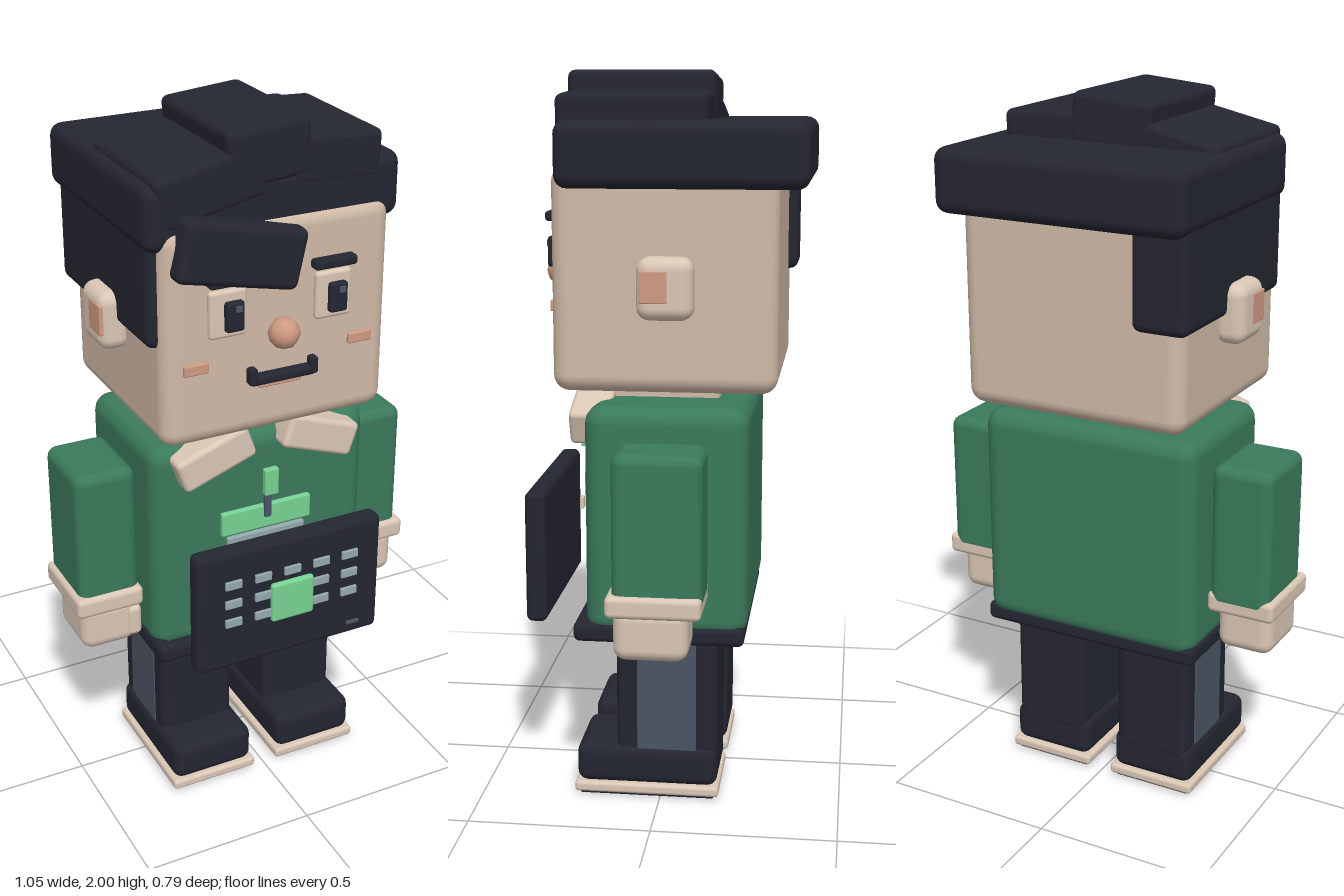
import * as THREE from 'three';
import { RoundedBoxGeometry } from 'three/addons/geometries/RoundedBoxGeometry.js';

const paint = (name, color) => Object.assign(new THREE.MeshStandardMaterial({ color }), { name });

export function createModel() {
  const skin = paint('skin', 0xd0baa7), cream = paint('cream', 0xdac7b5), pink = paint('pink', 0xcf9b82);
  const dark = paint('dark', 0x242631), green = paint('shirt green', 0x3a7a5b), bright = paint('bright green', 0x78d394);
  const slate = paint('slate', 0x4a5564), grey = paint('key grey', 0x94a9ad);

  const model = new THREE.Group();
  model.name = 'blockFigure';
  const group = (name) => {
    const g = new THREE.Group();
    g.name = name;
    model.add(g);
    return g;
  };
  // Rounded box given by its centre and size, turned about z
  const block = (parent, name, mat, [x, y, z], [w, h, d], r = 0.01, turn = 0) => {
    const radius = Math.min(r, w * 0.49, h * 0.49, d * 0.49);
    const mesh = new THREE.Mesh(new RoundedBoxGeometry(w, h, d, 3, radius), mat);
    mesh.name = name;
    mesh.position.set(x, y, z);
    mesh.rotation.z = turn;
    parent.add(mesh);
    return mesh;
  };

  // Head and hair
  const head = group('head');
  block(head, 'skull', skin, [0, 1.46, -0.016], [0.66, 0.6, 0.6], 0.045);
  const hair = group('hair');
  block(hair, 'hairCap', dark, [0, 1.785, -0.062], [0.725, 0.175, 0.665], 0.035);
  block(hair, 'sideHair', dark, [-0.275, 1.6, -0.047], [0.16, 0.32, 0.595], 0.025);
  block(hair, 'fringe', dark, [-0.12, 1.68, 0.28], [0.35, 0.165, 0.095], 0.022, -0.22);
  block(hair, 'leftTuft', dark, [-0.18, 1.85, 0.072], [0.3, 0.14, 0.405], 0.02, 0.21);
  block(hair, 'middleTuft', dark, [-0.02, 1.915, 0.072], [0.235, 0.155, 0.405], 0.02, 0.087);
  block(hair, 'rightTuft', dark, [0.17, 1.88, 0.072], [0.26, 0.13, 0.4], 0.02, -0.05);

  // Face
  const face = group('face');
  for (const s of [-1, 1]) {
    block(face, 'ear', cream, [s * 0.355, 1.445, -0.025], [0.09, 0.165, 0.15], 0.035);
    block(face, 'innerEar', pink, [s * 0.394, 1.452, 0.002], [0.014, 0.085, 0.075], 0.004);
    block(face, 'eye', cream, [s * 0.153, 1.525, 0.288], [0.106, 0.13, 0.024], 0.01);
    block(face, 'pupil', dark, [s * 0.15 + 0.01, 1.52, 0.304], [0.052, 0.082, 0.026], 0.008);
    block(face, 'glint', slate, [s * 0.15 + 0.018, 1.542, 0.317], [0.018, 0.018, 0.006], 0.002);
    block(face, 'cheek', pink, [s * 0.24, 1.385, 0.286], [0.07, 0.03, 0.016], 0.004);
    block(face, 'mouthCorner', dark, [s * 0.089, 1.343, 0.307], [0.024, 0.048, 0.03], 0.008);
    block(face, 'eyebrow', dark, [s * 0.15, 1.617, 0.3], [0.124, 0.027, 0.036], 0.009);
  }
  block(face, 'mouth', dark, [0, 1.329, 0.302], [0.19, 0.028, 0.034], 0.01);
  block(face, 'lip', pink, [0, 1.307, 0.288], [0.125, 0.018, 0.02], 0.004);
  const nose = new THREE.Mesh(new THREE.IcosahedronGeometry(0.043, 1), pink);
  nose.name = 'nose';
  nose.position.set(0, 1.45, 0.312);
  face.add(nose);

  // Torso, neck, collar and belt frame
  const body = group('body');
  block(body, 'shirt', green, [0, 0.803, -0.02], [0.66, 0.635, 0.445], 0.05);
  block(body, 'neck', skin, [0, 1.13, 0], [0.3, 0.12, 0.3], 0.015);
  for (const s of [-1, 1]) {
    block(body, 'collar', cream, [s * 0.16, 1.085, 0.195], [0.225, 0.1, 0.11], 0.015, s * -0.34);
    block(body, 'beltSide', dark, [s * 0.312, 0.492, 0], [0.042, 0.055, 0.47], 0.018);
    block(body, 'beltBar', dark, [0, 0.492, s * 0.214], [0.665, 0.055, 0.042], 0.018);
  }

  // Shirt emblem and hanging tag
  block(body, 'chestBand', bright, [0, 0.865, 0.222], [0.275, 0.07, 0.018], 0.004);
  block(body, 'chestPanel', grey, [0, 0.68, 0.222], [0.24, 0.28, 0.016], 0.004);
  block(body, 'tagStrap', slate, [0, 0.91, 0.232], [0.02, 0.09, 0.016], 0.004);
  block(body, 'tag', bright, [0, 0.985, 0.25], [0.042, 0.08, 0.02], 0.004);
  block(body, 'clip', cream, [0, 0.775, 0.262], [0.03, 0.035, 0.012], 0.003);

  // Control pad with keys
  const pad = group('controlPad');
  block(pad, 'padBody', dark, [0, 0.685, 0.346], [0.57, 0.37, 0.058], 0.018);
  for (const y of [0.775, 0.715, 0.655])
    for (const x of [-0.18, -0.09, 0, 0.09, 0.18])
      block(pad, 'key', grey, [x, y, 0.384], [0.05, 0.025, 0.009], 0.002);
  block(pad, 'mainButton', bright, [0, 0.683, 0.383], [0.13, 0.12, 0.02], 0.008);
  block(pad, 'smallLight', slate, [0.197, 0.546, 0.384], [0.04, 0.01, 0.008], 0.002);

  // Arms and legs, mirrored
  for (const s of [-1, 1]) {
    const arm = group(s > 0 ? 'leftArm' : 'rightArm');
    block(arm, 'sleeve', green, [s * 0.423, 0.825, -0.018], [0.178, 0.42, 0.24], 0.03);
    block(arm, 'cuff', cream, [s * 0.428, 0.63, -0.01], [0.198, 0.06, 0.254], 0.015);
    block(arm, 'hand', cream, [s * 0.425, 0.548, 0], [0.165, 0.145, 0.2], 0.035);
    block(arm, 'thumb', cream, [s * 0.352, 0.543, 0.07], [0.042, 0.095, 0.07], 0.015);

    const leg = group(s > 0 ? 'leftLeg' : 'rightLeg');
    block(leg, 'trouser', dark, [s * 0.168, 0.305, -0.018], [0.226, 0.39, 0.285], 0.025);
    block(leg, 'sideStripe', slate, [s * 0.28, 0.305, -0.018], [0.009, 0.33, 0.165], 0.002);
    block(leg, 'shoe', dark, [s * 0.168, 0.092, 0.038], [0.25, 0.115, 0.395], 0.03);
    block(leg, 'sole', cream, [s * 0.168, 0.024, 0.038], [0.264, 0.03, 0.405], 0.01);
    block(leg, 'tread', dark, [s * 0.168, 0.01, 0.038], [0.235, 0.02, 0.376], 0.004);
  }
  return model;
}
